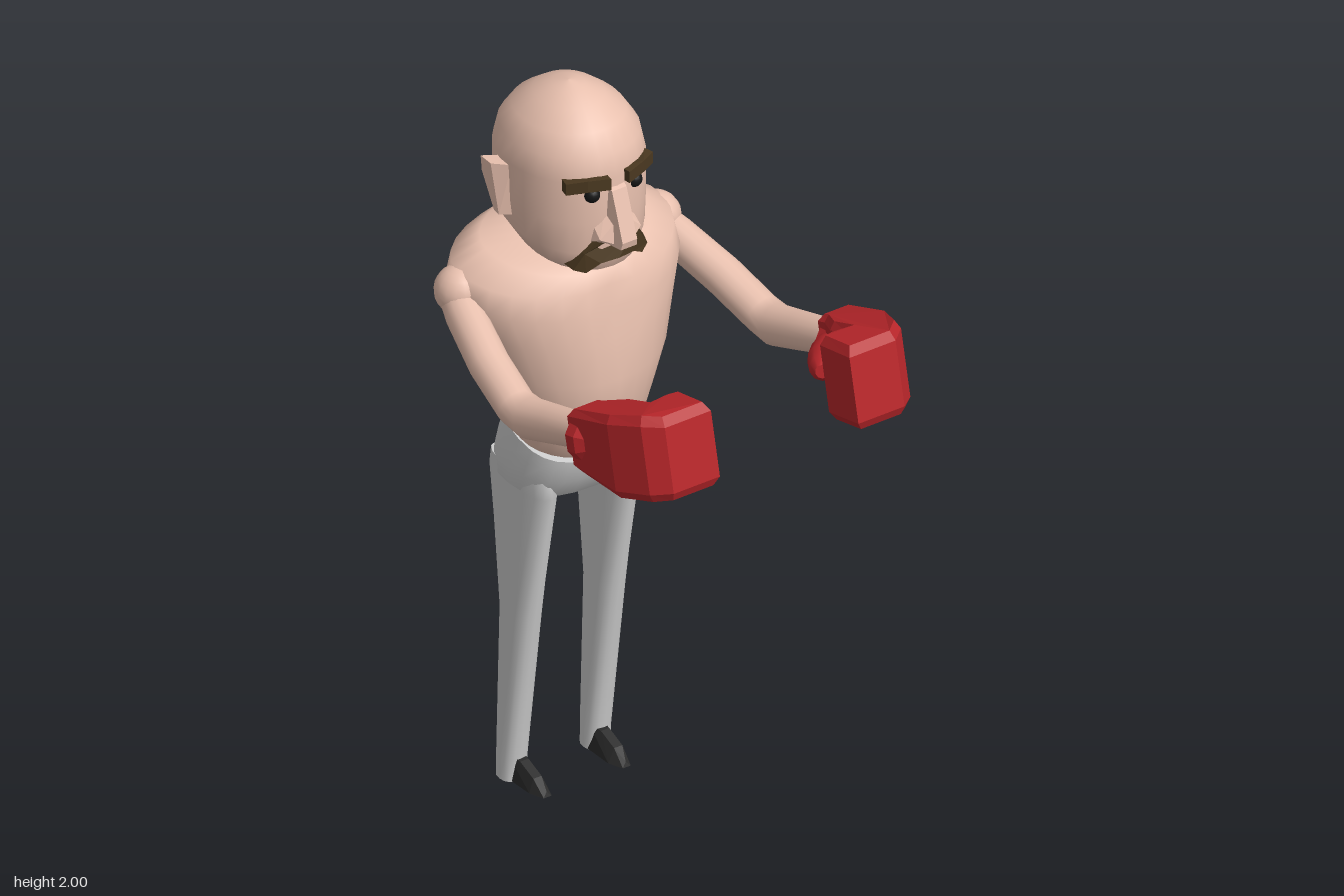
import * as THREE from 'three';
import { ConvexGeometry } from 'three/addons/geometries/ConvexGeometry.js';

const V = (x, y, z) => new THREE.Vector3(x, y, z);
const mat = (color, flatShading = false) =>
  new THREE.MeshStandardMaterial({ color, flatShading, roughness: 0.9, side: THREE.DoubleSide });
const lerp = THREE.MathUtils.lerp;

// Skin a list of equal-sized rings and close both ends.
function loft(rings) {
  const n = rings[0].length, pos = [], idx = [];
  rings.forEach(r => r.forEach(p => pos.push(p.x, p.y, p.z)));
  for (let i = 0; i < rings.length - 1; i++) {
    for (let j = 0; j < n; j++) {
      const a = i * n + j, b = i * n + (j + 1) % n;
      idx.push(a, a + n, b, b, a + n, b + n);
    }
  }
  [rings[0], rings[rings.length - 1]].forEach((r, end) => {
    const base = pos.length / 3, c = V(0, 0, 0);
    r.forEach(p => { pos.push(p.x, p.y, p.z); c.addScaledVector(p, 1 / n); });
    pos.push(c.x, c.y, c.z);
    for (let j = 0; j < n; j++) {
      const a = base + j, b = base + (j + 1) % n;
      idx.push(base + n, ...(end ? [b, a] : [a, b]));
    }
  });
  const g = new THREE.BufferGeometry();
  g.setAttribute('position', new THREE.Float32BufferAttribute(pos, 3));
  g.setIndex(idx);
  g.computeVertexNormals();
  return g;
}

// Egg-shaped level ring: heights and x at back and front, half width, x of the widest point.
function ring([yb, yf, xb, xf, hz, xm = (xb + xf) / 2], cz = 0, n = 24, p = 1) {
  return Array.from({ length: n }, (_, j) => {
    const a = (j / n) * Math.PI * 2, c = Math.cos(a), s = Math.sin(a);
    const x = xm + (c > 0 ? xf - xm : xm - xb) * Math.sign(c) * Math.abs(c) ** p;
    const z = cz + hz * Math.sign(s) * Math.abs(s) ** p;
    return V(x, lerp(yb, yf, (x - xb) / (xf - xb || 1)), z);
  });
}

// Round limb through points [x, y, z, radius].
function limb(path, n = 12) {
  const pts = path.map(p => V(p[0], p[1], p[2]));
  return loft(pts.map((p, i) => {
    const d = pts[Math.min(i + 1, pts.length - 1)].clone().sub(pts[Math.max(i - 1, 0)]).normalize();
    const u = V(0, 1, 0).addScaledVector(d, -d.y).normalize(), v = u.clone().cross(d);
    return Array.from({ length: n }, (_, j) => {
      const a = (j / n) * Math.PI * 2, r = path[i][3];
      return p.clone().addScaledVector(u, Math.cos(a) * r).addScaledVector(v, Math.sin(a) * r);
    });
  }));
}

const hull = pts => new ConvexGeometry(pts.map(p => V(...p)));

// Mitten outline seen from above, extruded upward, then tapered and leaned back.
function gloveGeometry(s) {
  const outline = [[.25, .43], [.43, .43], [.53, .395], [.57, .35], [.57, .21], [.44, .21],
    [.425, .25], [.437, .297], [.355, .297], [.28, .33], [.25, .33]];
  const shape = new THREE.Shape(outline.map(([x, z]) => new THREE.Vector2(x, -s * z)));
  const g = new THREE.ExtrudeGeometry(shape, { depth: .8, bevelThickness: .1, bevelSize: .014,
    bevelOffset: -.014, bevelSegments: 1 });
  g.translate(0, 0, .1).rotateX(-Math.PI / 2);
  const p = g.attributes.position;
  for (let i = 0; i < p.count; i++) {
    const x = p.getX(i);
    const low = 1.335 + .22 * Math.max(0, x - .4), high = 1.49 + .36 * Math.min(.27, x - .24);
    const y = lerp(low, high, p.getY(i));
    p.setXYZ(i, x - .22 * (y - 1.4), y, p.getZ(i));
  }
  g.computeVertexNormals();
  return g;
}

export function createModel() {
  const root = new THREE.Group();
  root.name = 'boxer';
  const skin = mat(0xe8c0ae), skinFlat = mat(0xe8c0ae, true), cloth = mat(0xcccccc);
  const red = mat(0xb8262a), redFlat = mat(0xb8262a, true);
  const hair = mat(0x4a3820, true), black = mat(0x151515), shoeMat = mat(0x2a2a2a, true);
  const add = (name, geometry, material) => {
    const m = new THREE.Mesh(geometry, material);
    m.name = name;
    root.add(m);
    return m;
  };

  // Torso, with a shallow groove down the chest
  const torso = [
    [1.06, .99, -.46, -.21, .16], [1.08, 1.01, -.485, -.19, .172], [1.12, 1.06, -.5, -.17, .182],
    [1.2, 1.15, -.505, -.15, .205], [1.3, 1.24, -.51, -.14, .25, -.35],
    [1.4, 1.35, -.54, -.148, .29, -.38], [1.5, 1.43, -.567, -.16, .325, -.4],
    [1.57, 1.49, -.557, -.175, .31, -.4], [1.61, 1.53, -.52, -.2, .23, -.39], [1.62, 1.55, -.47, -.24, .12],
  ].map(r => ring(r, 0, 28));
  torso.flat().forEach(p => {
    if (p.x > -.25 && p.y > 1.33 && p.y < 1.5) p.x -= .014 * Math.exp(-((p.z / .04) ** 2));
  });
  add('torso', loft(torso), skin);

  // Head
  add('head', loft([
    [1.59, 1.535, -.46, -.2, .1], [1.62, 1.555, -.505, -.17, .145], [1.67, 1.61, -.55, -.157, .173],
    [1.73, 1.7, -.558, -.155, .178], [1.82, 1.82, -.56, -.155, .178], [1.88, 1.88, -.545, -.17, .166],
    [1.93, 1.93, -.51, -.207, .134], [1.97, 1.97, -.455, -.262, .085], [1.992, 1.992, -.405, -.312, .04],
    [2, 2, -.36, -.356, .002],
  ].map(r => ring(r, 0, 28, .95))), skin);

  // Nose and moustache
  const nose = [];
  for (const s of [1, -1]) {
    nose.push([-.17, 1.8, s * .025], [-.145, 1.79, s * .022], [-.1, 1.66, s * .022],
      [-.105, 1.64, s * .024], [-.17, 1.64, s * .035]);
    add('nostril', hull([[-.17, 1.73, s * .025], [-.135, 1.7, s * .025], [-.125, 1.65, s * .03],
      [-.17, 1.65, s * .068], [-.14, 1.665, s * .062], [-.17, 1.69, s * .06], [-.15, 1.64, s * .02]]), skinFlat);
  }
  add('nose', hull(nose), skinFlat);

  const stache = new THREE.Shape([[-.06, 1.655], [0, 1.66], [.06, 1.655], [.088, 1.62], [.112, 1.575],
    [.085, 1.565], [.05, 1.588], [0, 1.59], [-.05, 1.588], [-.085, 1.565], [-.112, 1.575], [-.088, 1.62]]
    .map(p => new THREE.Vector2(...p)));
  const stacheGeo = new THREE.ExtrudeGeometry(stache, { depth: .05, bevelEnabled: false });
  stacheGeo.rotateY(Math.PI / 2).translate(-.195, 0, 0);
  const sp = stacheGeo.attributes.position;
  for (let i = 0; i < sp.count; i++) sp.setX(i, sp.getX(i) - 3 * sp.getZ(i) ** 2);
  stacheGeo.computeVertexNormals();
  add('moustache', stacheGeo, hair);

  // Hips
  add('hips', loft([
    [.87, .87, -.485, -.265, .16], [.89, .88, -.508, -.245, .172], [.94, .93, -.515, -.218, .176],
    [1.0, .97, -.5, -.202, .174], [1.065, .995, -.475, -.198, .168],
  ].map(r => ring(r, 0, 24, .75))), cloth);

  for (const s of [1, -1]) {
    // Leg and shoe
    add('leg', loft([
      [0, 0, -.46, -.385, .037], [.06, .06, -.459, -.385, .037], [.5, .5, -.447, -.322, .041],
      [.88, .88, -.498, -.25, .043], [.93, .93, -.49, -.26, .043],
    ].map(r => ring(r, s * .127, 16, .85))), cloth);
    add('shoe', hull([[-.42, .065, s * .105], [-.42, .065, s * .14], [-.375, .062, s * .11],
      [-.375, .062, s * .135], [-.32, .04, s * .11], [-.32, .04, s * .135], [-.42, .002, s * .092],
      [-.42, .002, s * .15], [-.32, .002, s * .092], [-.32, .002, s * .147],
      [-.28, .002, s * .108], [-.28, .002, s * .132], [-.285, .015, s * .12]]), shoeMat);

    // Ear
    add('ear', hull([[-.445, 1.81, s * .205], [-.4, 1.81, s * .207], [-.36, 1.812, s * .172],
      [-.42, 1.81, s * .165], [-.395, 1.675, s * .2], [-.375, 1.672, s * .2], [-.345, 1.675, s * .165],
      [-.385, 1.675, s * .165], [-.44, 1.77, s * .205]]), skinFlat);

    // Eye and brow
    const eye = add('eye', new THREE.SphereGeometry(.021, 16, 12), black);
    eye.position.set(-.172, 1.783, s * .064);
    add('eyebrow', hull([1.803, 1.835].flatMap(y => [[-.175, y - .004, s * .022], [-.14, y - .004, s * .028],
      [-.158, y, s * .085], [-.186, y - .006, s * .132], [-.215, y - .006, s * .125]])), hair);

    // Shoulder and arm
    const shoulder = add('shoulder', new THREE.SphereGeometry(.066, 16, 12), skin);
    shoulder.position.set(-.405, 1.475, s * .296);
    add('arm', limb([[-.42, 1.465, s * .3, .045], [-.35, 1.437, s * .32, .05], [-.2, 1.383, s * .355, .052],
      [-.06, 1.337, s * .373, .052], [0, 1.334, s * .373, .054], [.1, 1.368, s * .374, .05],
      [.28, 1.43, s * .377, .043]], 16), skin);

    // Boxing glove: cuff, fist and thumb
    add('gloveCuff', limb([[.243, 1.414, s * .38, .057], [.255, 1.418, s * .38, .072],
      [.285, 1.425, s * .38, .07], [.31, 1.43, s * .38, .05]], 10), redFlat);
    add('gloveFist', gloveGeometry(s), redFlat);
    add('gloveThumb', limb([[.25, 1.42, s * .36, .03], [.3, 1.435, s * .31, .04], [.35, 1.45, s * .262, .04],
      [.395, 1.46, s * .228, .034], [.415, 1.465, s * .213, .018]], 10), red);
  }
  return root;
}
